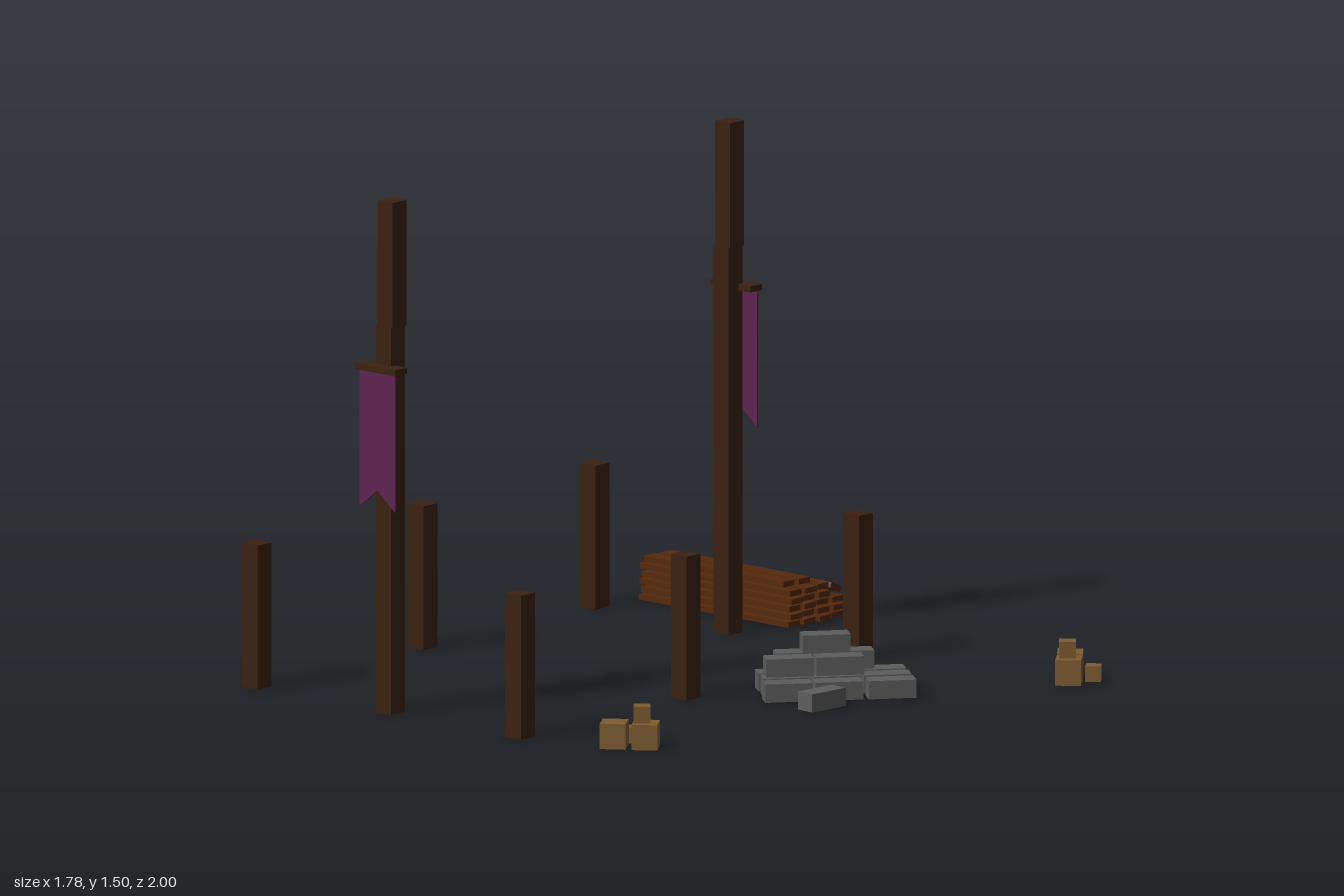
import * as THREE from 'three';

const mat = (color, extra = {}) => new THREE.MeshStandardMaterial({ color, flatShading: true, ...extra });

export function createModel() {
  const root = new THREE.Group();
  const darkWood = mat(0x3a2112), plankWood = mat(0x55290d), stone = mat(0x5c5c5c);
  const crateWood = mat(0x7d5c30), cloth = mat(0x5e2350, { side: THREE.DoubleSide });

  const group = (name) => {
    const g = new THREE.Group();
    g.name = name;
    root.add(g);
    return g;
  };
  // Box centred on x, z with its underside at y
  const box = (parent, name, material, [w, h, d], [x, y, z], ry = 0) => {
    const m = new THREE.Mesh(new THREE.BoxGeometry(w, h, d), material);
    m.name = name;
    m.position.set(x, y + h / 2, z);
    m.rotation.y = ry;
    parent.add(m);
    return m;
  };

  // Short corner and side posts
  const posts = group('shortPosts');
  for (const x of [-0.865, 0.145])
    for (const z of [-0.505, 0.23, 0.937]) box(posts, 'shortPost', darkWood, [0.06, 0.42, 0.06], [x, 0, z]);

  // Tall poles with crossbar and swallow-tailed banner, facing outwards
  const flag = new THREE.Shape([[-0.068, 1.005], [-0.068, 0.6], [0, 0.655], [0.068, 0.6], [0.068, 1.005]]
    .map(([x, y]) => new THREE.Vector2(x, y)));
  for (const [z, side] of [[0.937, 1], [-0.503, -1]]) {
    const pole = group(side > 0 ? 'frontBannerPole' : 'backBannerPole');
    box(pole, 'lowerPole', darkWood, [0.058, 1.13, 0.06], [-0.352, 0, z]);
    box(pole, 'upperPole', darkWood, [0.058, 0.365, 0.06], [-0.346, 1.13, z]);
    box(pole, 'crossbar', darkWood, [0.153, 0.018, 0.05], [-0.354, 1.0, z + side * 0.038]);
    const geo = new THREE.ExtrudeGeometry(flag, { depth: 0.006, bevelEnabled: false });
    const banner = new THREE.Mesh(geo, cloth);
    banner.name = 'banner';
    banner.position.set(-0.353, 0, z + side * 0.053 - 0.003);
    pole.add(banner);
  }

  // Lumber stack: columns of planks with slightly uneven ends
  const lumber = group('lumberStack');
  [[-0.67, 6], [-0.73, 6], [-0.79, 5], [-0.85, 3]].forEach(([z, count], c) => {
    for (let i = 0; i < count; i++) {
      const shift = (((i * 3 + c * 2) % 5) - 2) * 0.003;
      const length = i === 5 ? 0.535 : 0.575;
      box(lumber, 'plank', plankWood, [length, 0.016, 0.048], [-0.53 + shift, 0.004 + i * 0.023, z]);
    }
  });
  box(lumber, 'tiltedPlank', plankWood, [0.57, 0.016, 0.048], [-0.53, 0.084, -0.845]).rotation.x = -0.42;
  box(lumber, 'loosePlank', plankWood, [0.575, 0.014, 0.045], [-0.532, 0.004, -0.942], -0.13);

  // Stone pile: rows of blocks given as [x, z, layer, blocks]
  const pile = group('stonePile');
  const angle = 0.9, pitch = 0.145;
  const rows = [
    [0.368, -0.14, 0, 3], [0.429, -0.095, 0, 3], [0.439, 0.016, 0, 2], [0.582, -0.159, 0, 1],
    [0.356, -0.124, 1, 2], [0.388, -0.045, 1, 2], [0.378, -0.105, 2, 1],
  ];
  for (const [x, z, layer, count] of rows)
    for (let i = 0; i < count; i++) {
      const t = (i - (count - 1) / 2) * pitch;
      box(pile, 'stoneBlock', stone, [0.138, 0.053, 0.06],
        [x + t * Math.cos(angle), 0.004 + layer * 0.056, z - t * Math.sin(angle)], angle);
    }
  box(pile, 'looseStone', stone, [0.132, 0.053, 0.058], [0.537, 0.004, 0.085], 1.49);

  // Crate clusters: each crate is [size, x, y, z, turn]
  const clusters = {
    backCrates: [[0.074, 0.77, 0, -0.715, 0.72], [0.074, 0.828, 0, -0.645, 0.65],
      [0.048, 0.818, 0.075, -0.65, 0.75], [0.045, 0.855, 0, -0.72, 0.65]],
    frontCrates: [[0.074, 0.434, 0, 0.857, 0.6], [0.074, 0.51, 0, 0.807, 0.63],
      [0.048, 0.498, 0.075, 0.81, 0.75], [0.045, 0.431, 0, 0.773, 0.6]],
  };
  for (const [name, crates] of Object.entries(clusters)) {
    const g = group(name);
    for (const [s, x, y, z, ry] of crates) box(g, 'crate', crateWood, [s, s, s], [x, y, z], ry);
  }
  return root;
}
